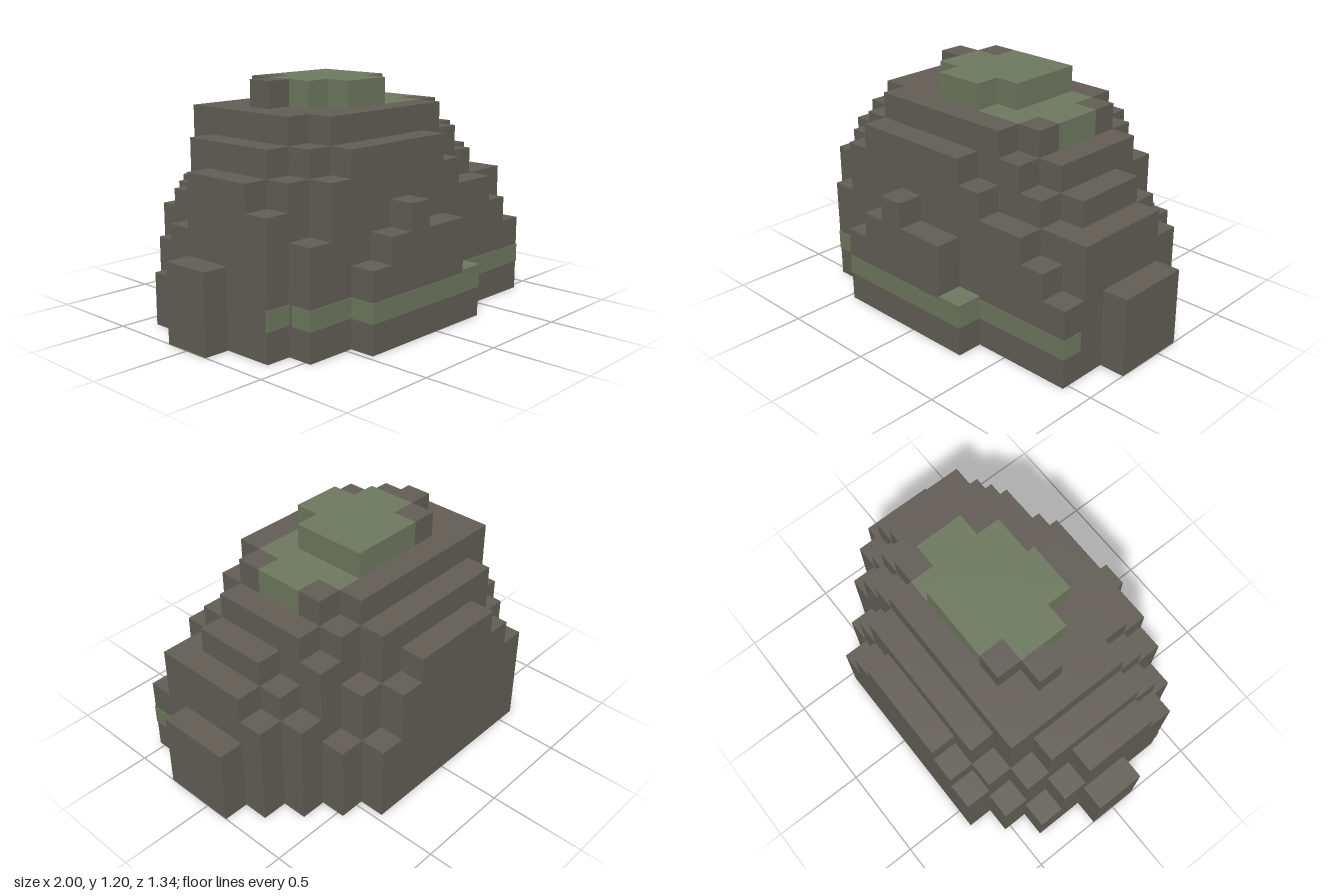
import * as THREE from 'three';
import { mergeGeometries } from 'three/addons/utils/BufferGeometryUtils.js';

const U = 2 / 15; // edge length of one block

// Stack heights in blocks: rows run back to front, digits run from -x to +x
const HEIGHTS = [
  '000456666530000',
  '003577777753000',
  '025888888876400',
  '047889999887540',
  '367899999887653',
  '367889999887653',
  '067888998887653',
  '056788888876550',
  '004677777655430',
  '000034544200000',
].map((row) => [...row].map(Number));

const heightAt = (i, k) => HEIGHTS[k]?.[i] ?? 0;

// Mossy patch on the summit, cut back at its corners
function isMoss(i, k, layer) {
  if (layer < 7) return false;
  if (k === 4 || k === 5) return i >= 5 && i <= 10;
  return (k === 3 || k === 6) && i >= 6 && i <= 9;
}

// One square block face, turned to look along the given direction
function face(i, layer, k, dx, dy, dz) {
  const g = new THREE.PlaneGeometry(U, U);
  if (dy) g.rotateX(-dy * Math.PI / 2);
  else g.rotateY(Math.atan2(dx, dz));
  return g.translate(
    (i + 0.5 + dx / 2) * U - 1,
    (layer + 0.5 + dy / 2) * U,
    (k + 0.5 + dz / 2) * U - 5 * U
  );
}

export function createModel() {
  const model = new THREE.Group();
  model.name = 'steppedBoulder';
  const stone = new THREE.MeshStandardMaterial({ color: 0x625e56 });
  stone.name = 'stone';
  const moss = new THREE.MeshStandardMaterial({ color: 0x6e785f });
  moss.name = 'moss';

  // Outer faces of the stacked blocks, sorted by colour
  const stoneFaces = [];
  const mossFaces = [];
  HEIGHTS.forEach((row, k) => row.forEach((h, i) => {
    if (!h) return;
    const add = (layer, ...dir) =>
      (isMoss(i, k, layer) ? mossFaces : stoneFaces).push(face(i, layer, k, ...dir));
    add(0, 0, -1, 0);
    add(h - 1, 0, 1, 0);
    for (const [dx, dz] of [[1, 0], [-1, 0], [0, 1], [0, -1]]) {
      for (let layer = heightAt(i + dx, k + dz); layer < h; layer++) add(layer, dx, 0, dz);
    }
  }));

  const addMesh = (name, geometry, material) => {
    const mesh = new THREE.Mesh(geometry, material);
    mesh.name = name;
    model.add(mesh);
  };
  addMesh('boulder', mergeGeometries(stoneFaces), stone);
  addMesh('mossCap', mergeGeometries(mossFaces), moss);

  // Moss stripe round the front: thin bands just proud of the stone
  const P = 0.003;
  const band = (name, x0, x1, y0, y1, z0, z1) => {
    const g = new THREE.BoxGeometry(x1 - x0 + 2 * P, y1 - y0, z1 - z0 + P);
    g.translate((x0 + x1) / 2, (y0 + y1) / 2, (z0 + z1 + P) / 2);
    addMesh(name, g, moss);
  };
  band('stripeFront', -3.5 * U, 2.5 * U, 0.15, 0.25, 4 * U, 5 * U);
  band('stripeMiddle', -5.5 * U, 6.5 * U, 0.15, 0.25, 0.42, 4 * U);
  band('stripeRightEnd', -6.5 * U, -5.5 * U, 0.15, 0.25, 3 * U - 0.005, 3 * U);
  band('mossyStep', 1.5 * U, 2.5 * U, 0.25, 2 * U + P, 4 * U, 5 * U);
  return model;
}
